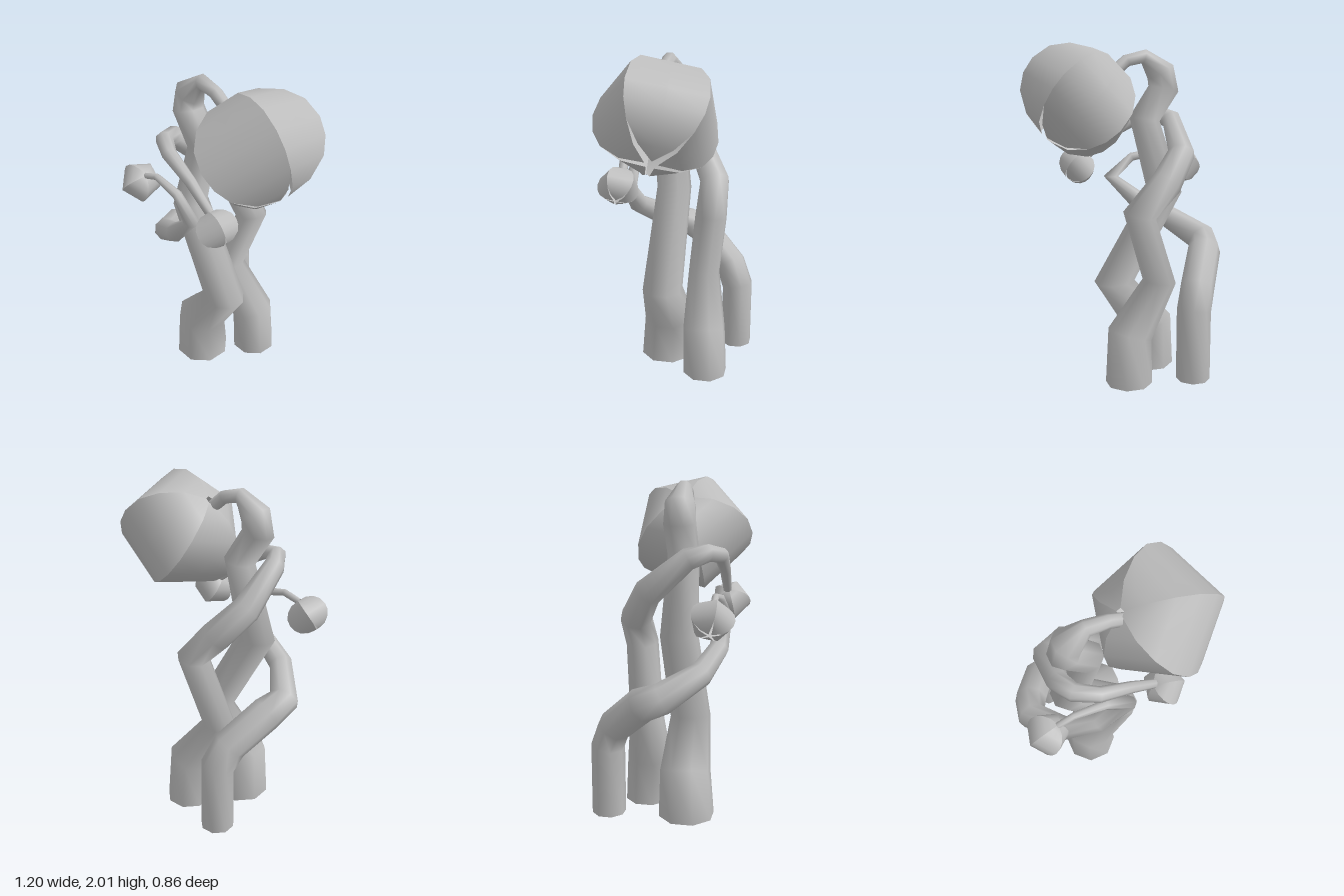
import * as THREE from 'three';

const SIDES = 8;

// Geometry from a grid of points: rows of equal length, outward side given by the row order
function gridGeometry(rows, closed) {
  const n = rows[0].length, index = [];
  const cols = closed ? n : n - 1;
  for (let i = 0; i < rows.length - 1; i++) {
    for (let j = 0; j < cols; j++) {
      const a = i * n + j, b = i * n + (j + 1) % n;
      index.push(a, b, a + n, b, b + n, a + n);
    }
  }
  const geo = new THREE.BufferGeometry().setFromPoints(rows.flat());
  geo.setIndex(index);
  geo.computeVertexNormals();
  return geo;
}

// Open, tapering tube along a bent path; each entry is [x, y, z, radius]
function stemGeometry(path) {
  const pts = path.map(p => new THREE.Vector3(p[0], p[1], p[2]));
  const normal = new THREE.Vector3(0, 0, 1);
  const rows = pts.map((p, i) => {
    const tangent = new THREE.Vector3();
    if (i > 0) tangent.add(p.clone().sub(pts[i - 1]).normalize());
    if (i < pts.length - 1) tangent.add(pts[i + 1].clone().sub(p).normalize());
    if (i === 0) tangent.set(0, 1, 0); // level cut at the foot
    tangent.normalize();
    normal.addScaledVector(tangent, -normal.dot(tangent)).normalize();
    const side = tangent.clone().cross(normal);
    return Array.from({ length: SIDES }, (_, j) => {
      const a = (j + 0.5) / SIDES * Math.PI * 2, r = path[i][3] * 1.03;
      return p.clone().addScaledVector(normal, Math.cos(a) * r).addScaledVector(side, Math.sin(a) * r);
    });
  });
  return gridGeometry(rows, true);
}

// One petal of the pod: [height, distance from axis, share of the full width], tip to base
const PETAL = [
  [-0.29, 0.04, 0.05], [-0.265, 0.15, 0.85], [-0.19, 0.24, 1], [-0.1, 0.287, 1], [0, 0.304, 1],
  [0.12, 0.285, 1], [0.215, 0.225, 1], [0.285, 0.13, 1], [0.3, 0.02, 1],
];
function petalGeometry() {
  const rows = PETAL.map(([y, m, f]) => {
    const w = m * Math.tan(Math.PI / 5) * f;
    return [-1, 0, 1].map(s => new THREE.Vector3(s * w, y, m));
  });
  return gridGeometry(rows, false);
}

export function createModel() {
  const model = new THREE.Group();
  model.name = 'plant';
  const grey = new THREE.MeshStandardMaterial({ color: 0xbcbcbc, side: THREE.DoubleSide });
  grey.name = 'plain grey';

  // Three twisting stems
  const stems = {
    mainStem: [
      [-0.18, 0, 0.105, 0.165], [-0.185, 0.28, 0.1, 0.15], [0.035, 0.56, 0.09, 0.122],
      [-0.285, 1.12, 0.08, 0.107], [-0.155, 1.56, 0.08, 0.09], [-0.275, 1.74, 0.08, 0.09],
      [-0.255, 1.84, 0.08, 0.085], [-0.15, 1.93, 0.08, 0.043], [-0.04, 1.905, 0.08, 0.037],
      [0.06, 1.82, 0.07, 0.035],
    ],
    backStem: [
      [0.025, 0, -0.18, 0.135], [0.015, 0.3, -0.17, 0.13], [-0.18, 0.6, -0.135, 0.098],
      [-0.035, 1.02, -0.195, 0.095], [-0.2, 1.2, -0.19, 0.09], [-0.33, 1.36, -0.09, 0.08],
      [-0.35, 1.55, 0.14, 0.06], [-0.3, 1.58, 0.24, 0.05], [-0.18, 1.56, 0.3, 0.042],
      [0, 1.46, 0.3, 0.032], [0.15, 1.33, 0.295, 0.025],
    ],
    sideStem: [
      [-0.325, 0.045, -0.335, 0.097], [-0.325, 0.46, -0.335, 0.097], [-0.37, 0.59, -0.28, 0.097],
      [-0.49, 0.76, -0.09, 0.097], [-0.525, 0.81, 0.03, 0.087], [-0.37, 0.92, 0.22, 0.068],
      [-0.18, 1.03, 0.29, 0.057], [-0.005, 1.19, 0.3, 0.045], [-0.14, 1.31, 0.29, 0.028],
      [-0.33, 1.345, 0.29, 0.02], [-0.43, 1.31, 0.294, 0.018],
    ],
  };
  for (const [name, path] of Object.entries(stems)) {
    const mesh = new THREE.Mesh(stemGeometry(path), grey);
    mesh.name = name;
    model.add(mesh);
  }

  // Five-petalled pods with a star-shaped opening at the tip
  const petal = petalGeometry();
  const addPod = (name, x, y, z, size, tilt) => {
    const pod = new THREE.Group();
    pod.name = name;
    for (let k = 0; k < 5; k++) {
      const mesh = new THREE.Mesh(petal, grey);
      mesh.name = 'petal';
      mesh.rotation.y = (k + 0.5) * Math.PI * 2 / 5;
      pod.add(mesh);
    }
    pod.position.set(x, y, z);
    pod.rotation.z = tilt;
    pod.scale.setScalar(size);
    model.add(pod);
  };
  addPod('largePod', 0.252, 1.668, 0.054, 1, Math.PI / 4);
  addPod('frontPod', 0.21, 1.258, 0.304, 0.335, Math.PI / 4);
  addPod('sidePod', -0.495, 1.242, 0.294, 0.335, -Math.PI / 4);

  return model;
}
